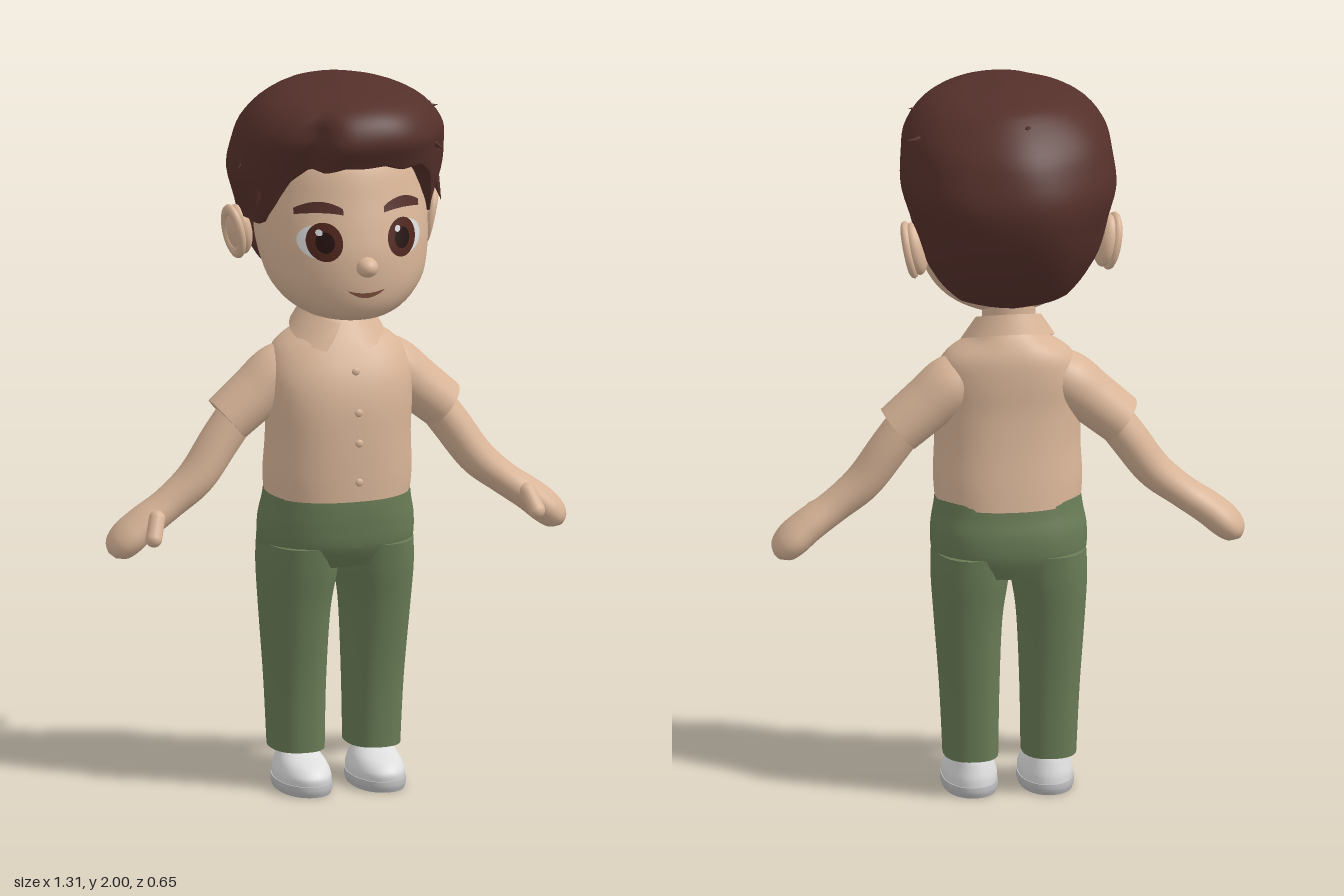
import * as THREE from 'three';

const material = (name, color, side = THREE.FrontSide) =>
  Object.assign(new THREE.MeshStandardMaterial({ color, side }), { name });

// Smooth interpolation through section rows [x, y, z, radiusX, radiusZ]
function rowAt(rows, t) {
  const f = t * (rows.length - 1), i = Math.min(Math.floor(f), rows.length - 2), u = f - i;
  const get = k => rows[Math.max(0, Math.min(rows.length - 1, k))];
  const [a, b, c, d] = [get(i - 1), get(i), get(i + 1), get(i + 2)];
  return b.map((p, k) => p + 0.5 * u * (c[k] - a[k] + u * (2 * a[k] - 5 * p + 4 * c[k] - d[k]
    + u * (3 * (p - c[k]) + d[k] - a[k]))));
}
// Parameter at which the section rows reach height y
function tAtHeight(rows, y) {
  const up = rows[rows.length - 1][1] > rows[0][1];
  let lo = 0, hi = 1;
  for (let k = 0; k < 24; k++) {
    const m = (lo + hi) / 2;
    if ((rowAt(rows, m)[1] < y) === up) lo = m; else hi = m;
  }
  return lo;
}
// Skin rings of points, bottom to top, wrapping round
function skin(rings) {
  const n = rings[0].length, idx = [];
  for (let i = 0; i < rings.length - 1; i++) for (let j = 0; j < n; j++) {
    const k = (j + 1) % n, a = i * n + j, b = i * n + k;
    idx.push(a, b, b + n, a, b + n, a + n);
  }
  const g = new THREE.BufferGeometry().setFromPoints(rings.flat());
  g.setIndex(idx);
  g.computeVertexNormals();
  return g;
}
const power = (v, n) => Math.sign(v) * Math.abs(v) ** (2 / n);

// Loft superellipse sections; tilt turns each ring across its path in the xy plane
function loft(rows, { n = 2, seg = 36, steps = 28, tilt = false } = {}) {
  const rings = [];
  for (let i = 0; i <= steps; i++) {
    const t = i / steps, [x, y, z, rx, rz] = rowAt(rows, t);
    const p = rowAt(rows, Math.max(0, t - 0.01)), q = rowAt(rows, Math.min(1, t + 0.01));
    const dir = tilt ? new THREE.Vector2(q[0] - p[0], q[1] - p[1]).normalize() : new THREE.Vector2(0, 1);
    const ring = [];
    for (let j = 0; j < seg; j++) {
      const a = j / seg * Math.PI * 2, s = power(Math.sin(a), n) * rx, c = power(Math.cos(a), n) * rz;
      ring.push(new THREE.Vector3(x + dir.y * s, y - dir.x * s, z + c));
    }
    rings.push(ring);
  }
  const cap = r => {
    const mid = r.reduce((m, p) => m.add(p), new THREE.Vector3()).divideScalar(seg);
    return r.map(() => mid.clone());
  };
  const copy = r => r.map(p => p.clone());
  const first = rings[0], last = rings[steps];
  return skin([cap(first), copy(first), ...rings, copy(last), cap(last)]);
}
// Lay a flat geometry on the front (+1) or back (-1) of a loft
function patch(rows, geo, map, lift, side = 1, n = 2) {
  const pos = geo.attributes.position;
  for (let i = 0; i < pos.count; i++) {
    const [x, y] = map(pos.getX(i), pos.getY(i));
    const [, , cz, rx, rz] = rowAt(rows, tAtHeight(rows, y));
    const d = Math.max(0, 1 - Math.min(1, Math.abs(x / rx)) ** n) ** (1 / n);
    pos.setXYZ(i, x, y, cz + side * (rz * d + lift));
  }
  geo.computeVertexNormals();
  return geo;
}

const HEAD = [[0, 1.352, .1, .05, .06], [0, 1.372, .095, .12, .14], [0, 1.41, .085, .175, .185],
  [0, 1.47, .072, .216, .212], [0, 1.55, .043, .235, .242], [0, 1.62, .026, .238, .246],
  [0, 1.70, .005, .232, .245], [0, 1.80, -.01, .21, .228], [0, 1.88, -.02, .15, .17]];
const HAIR = [[0, 2.0, .04, .001, .001], [0, 1.985, .04, .13, .17], [0, 1.95, .047, .22, .245],
  [0, 1.885, .03, .275, .295], [0, 1.82, 0, .29, .30], [0, 1.74, -.03, .295, .292],
  [0, 1.65, -.033, .27, .272], [0, 1.555, -.02, .25, .24], [0, 1.46, -.022, .2, .173], [0, 1.41, -.02, .165, .12]];
// Height of the hair edge by angle from the front
const HAIRLINE = [[0, 1.825], [.35, 1.81], [.6, 1.805], [.78, 1.77], [.95, 1.69], [1.1, 1.635],
  [1.4, 1.625], [1.75, 1.62], [1.95, 1.48], [2.2, 1.435], [3.15, 1.42]];
const TORSO = [[0, .835, -.007, .2, .168], [0, .9, -.002, .204, .164], [0, 1.0, .005, .2, .156],
  [0, 1.1, .007, .204, .148], [0, 1.18, -.003, .203, .138], [0, 1.25, -.018, .172, .118],
  [0, 1.30, -.025, .10, .093], [0, 1.335, -.025, .075, .07]];
const PELVIS = [[0, .64, -.027, .2, .14], [0, .70, -.022, .213, .165], [0, .76, -.018, .213, .17],
  [0, .81, -.011, .204, .166], [0, .85, -.008, .199, .162]];

function hairGeometry() {
  const seg = 120, steps = 26, columns = [];
  for (let j = 0; j < seg; j++) {
    const a = j / seg * Math.PI * 2 - Math.PI, m = Math.abs(a);
    const k = HAIRLINE.findIndex(h => h[0] > m), [a0, y0] = HAIRLINE[k - 1], [a1, y1] = HAIRLINE[k];
    const jag = m < 1.6 ? .012 * Math.abs(((a * 2.4 + 10) % 1) - .5) * 2 : 0;
    const end = tAtHeight(HAIR, y0 + (y1 - y0) * (m - a0) / (a1 - a0) - jag);
    const col = [];
    let base;
    for (let i = 0; i <= steps; i++) {
      const [, y, z, rx, rz] = rowAt(HAIR, end * i / steps);
      // Parting dip on one side of the fringe, and soft locks
      const fade = Math.min(1, (2.0 - y) / .09);
      const r = 1 - fade * (.14 * Math.exp(-(((a + .6) / .2) ** 2)) - .008 * Math.sin(7 * a + 9 * y));
      base = [Math.sin(a) * rx * r, y, Math.cos(a) * rz * r, z];
      col.push(new THREE.Vector3(base[0], y, z + base[2]));
    }
    for (const [f, dy] of [[1, 0], [.94, -.006], [.72, .015], [.4, .03]])
      col.push(new THREE.Vector3(base[0] * f, base[1] + dy, base[3] + base[2] * f));
    columns.push(col);
  }
  return skin(columns[0].map((_, i) => columns.map(c => c[i])).reverse());
}

// Folded collar, open at the front with pointed ends
function collarGeometry() {
  const g = new THREE.PlaneGeometry(2, 1, 48, 3), p = g.attributes.position;
  for (let i = 0; i < p.count; i++) {
    const u = p.getX(i), v = p.getY(i) + .5;
    const a = Math.PI + u * (Math.PI - .48 + .36 * v);
    const x = Math.sin(a) * (.13 - .04 * v), z = -.008 - .012 * v + Math.cos(a) * (.126 - .034 * v);
    p.setXYZ(i, x, 1.287 + .06 * v - .35 * z, z);
  }
  g.computeVertexNormals();
  return g;
}

export function createModel() {
  const model = new THREE.Group();
  model.name = 'figure';
  const tan = material('tan', 0xd9b598, THREE.DoubleSide), brown = material('hair brown', 0x55302a, THREE.DoubleSide);
  const green = material('trouser green', 0x697c56), white = material('shoe white', 0xdedede);
  const grey = material('sole grey', 0xbcbcbe), eyeWhite = material('eye white', 0xdcdcdc);
  const iris = material('iris brown', 0x4f261d), dark = material('pupil dark', 0x24120f);
  const lip = material('mouth brown', 0x80503f);

  const add = (name, geo, mat, x = 0, y = 0, z = 0, parent = model) => {
    const mesh = new THREE.Mesh(geo, mat);
    mesh.name = name;
    mesh.position.set(x, y, z);
    parent.add(mesh);
    return mesh;
  };
  const ball = (name, mat, x, y, z, rx, ry, rz, parent) => {
    const mesh = add(name, new THREE.SphereGeometry(1, 24, 16), mat, x, y, z, parent);
    mesh.scale.set(rx, ry, rz);
    return mesh;
  };
  const disc = (name, mat, x, y, rx, ry, lift) => add(name,
    patch(HEAD, new THREE.RingGeometry(0, 1, 28, 4), (u, v) => [x + u * rx, y + v * ry], lift), mat);
  const strip = (name, mat, map, lift) => add(name,
    patch(HEAD, new THREE.PlaneGeometry(2, 1, 16, 2), map, lift), mat);

  // Head and face
  add('head', loft(HEAD, { seg: 48, steps: 40 }), tan);
  ball('nose', tan, 0, 1.532, .287, .03, .028, .035);
  strip('mouth', lip, (u, v) => [u * .052, 1.451 + .014 * u * u + v * .013 * (1.1 - u * u)], .003);
  for (const s of [1, -1]) {
    disc('eyeWhite', eyeWhite, s * .12, 1.6, .056, .047, .002);
    disc('iris', iris, s * .11, 1.601, .046, .053, .004);
    disc('pupil', dark, s * .11, 1.6, .024, .029, .0055);
    disc('eyeHighlight', eyeWhite, s * .11 - .014, 1.627, .009, .009, .007);
    strip('eyebrow', brown, (u, v) => [s * .118 + u * .06,
      1.694 - .014 * u * u - s * .003 * u + v * .027 * (1.1 - .5 * u * u)], .006);
    const ear = new THREE.Group();
    ear.name = 'ear';
    ear.position.set(s * .262, 1.572, -.062);
    ear.rotation.set(.12, s * -.25, s * -.18);
    model.add(ear);
    ball('earBody', tan, 0, 0, 0, .03, .074, .05, ear);
    const rim = add('earRim', new THREE.TorusGeometry(.042, .012, 10, 32), tan, s * .018, 0, 0, ear);
    rim.rotation.y = Math.PI / 2;
    rim.scale.set(1, 1.5, 1);
  }

  // Hair with a few loose tufts
  add('hair', hairGeometry(), brown);
  for (const [x, y, z, dx, dy, dz] of [[.215, 1.92, .09, 1, .12, .1], [-.275, 1.80, .03, -.6, -.7, .5],
    [-.03, 1.945, -.18, .15, .15, -1], [.25, 1.885, -.06, 1, .1, -.5], [.21, 1.85, .19, .7, -.5, .4],
    [-.255, 1.72, .1, -.2, -1, .3], [.255, 1.70, .1, .2, -1, .3], [-.19, 1.81, .165, -.2, -1, .3]]) {
    const tuft = add('hairTuft', new THREE.ConeGeometry(.028, .09, 8), brown, x, y, z);
    tuft.quaternion.setFromUnitVectors(new THREE.Vector3(0, 1, 0), new THREE.Vector3(dx, dy, dz).normalize());
    tuft.scale.z = .6;
  }

  // Neck and shirt
  add('neck', new THREE.CylinderGeometry(.072, .076, .16, 28), tan, 0, 1.36, -.027);
  add('shirt', loft(TORSO, { n: 2.3, seg: 48 }), tan);
  add('collar', collarGeometry(), tan);
  for (const y of [1.195, 1.085, 1.0, .89]) {
    const [, , cz, , rz] = rowAt(TORSO, tAtHeight(TORSO, y));
    ball('button', tan, .015, y, cz + rz, .011, .011, .006);
  }

  // Arms, legs and shoes
  for (const s of [1, -1]) {
    const side = rows => rows.map(([x, ...rest]) => [s * x, ...rest]);
    add('sleeve', loft(side([[.1, 1.205, -.03, .06, .07], [.16, 1.168, -.03, .078, .088],
      [.23, 1.11, -.03, .074, .086], [.307, 1.045, -.03, .07, .083]]), { tilt: true }), tan);
    add('arm', loft(side([[.26, 1.085, -.025, .054, .066], [.33, .99, -.02, .054, .066], [.40, .893, -.012, .051, .064],
      [.48, .825, -.01, .045, .058], [.55, .775, -.011, .046, .066], [.597, .735, -.012, .046, .072],
      [.625, .705, -.012, .036, .058], [.638, .688, -.012, .012, .022]]), { tilt: true, steps: 36 }), tan);
    const thumb = add('thumb', new THREE.CapsuleGeometry(.023, .06, 8, 16), tan, s * .538, .775, .063);
    thumb.rotation.set(-.55, 0, s * .3);

    add('trouserLeg', loft([[s * .108, .108, -.037, .075, .098], [s * .111, .3, -.037, .081, .109],
      [s * .114, .5, -.032, .092, .132], [s * .109, .62, -.027, .104, .15],
      [s * .106, .7, -.023, .104, .158]], { n: 2.4 }), green);
    const square = new THREE.PlaneGeometry(1, 1, 8, 6);
    add('backPocket', patch(PELVIS, square, (u, v) => [s * .1 - u * .085, .755 + v * .085 - .12 * s * u * .085],
      .003, -1, 2.4), green);

    add('ankle', new THREE.CylinderGeometry(.048, .045, .08, 20), tan, s * .106, .1, -.04);
    add('shoe', loft([[s * .105, .026, .008, .073, .129], [s * .105, .05, .009, .074, .128],
      [s * .105, .075, 0, .066, .112], [s * .106, .096, -.022, .055, .083],
      [s * .107, .108, -.036, .048, .062]], { n: 2.2 }), white);
    add('sole', loft([[s * .105, 0, .009, .073, .13], [s * .105, .015, .009, .077, .135],
      [s * .105, .03, .009, .076, .134]], { n: 2.2, steps: 6 }), grey);
  }

  // Trouser top and fly
  add('trouserTop', loft(PELVIS, { n: 2.4, seg: 48 }), green);
  add('fly', patch(PELVIS, new THREE.PlaneGeometry(1, 1, 4, 8),
    (u, v) => [.012 + u * .032, .772 + v * .14], .006, 1, 2.4), green);
  return model;
}
